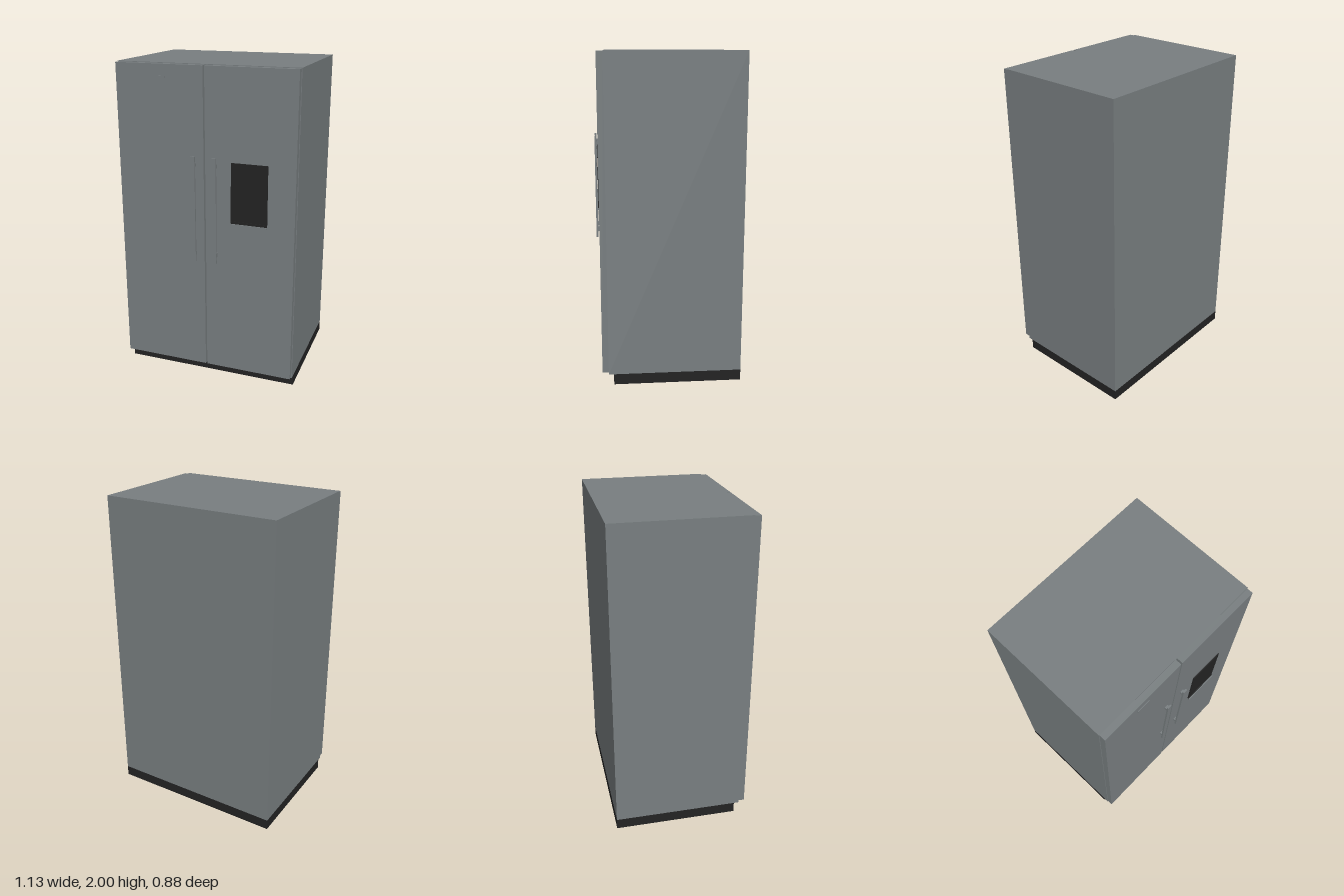
import * as THREE from 'three';

export function createModel() {
  const group = new THREE.Group();
  group.name = 'fridge';

  const steel = new THREE.MeshStandardMaterial({ color: 0x787e80 });
  steel.name = 'brushed steel';
  const black = new THREE.MeshStandardMaterial({ color: 0x232323 });
  black.name = 'black plastic';

  // Box given by its minimum and maximum on each axis
  function box(name, material, [x0, x1], [y0, y1], [z0, z1], parent = group) {
    const mesh = new THREE.Mesh(new THREE.BoxGeometry(x1 - x0, y1 - y0, z1 - z0), material);
    mesh.position.set((x0 + x1) / 2, (y0 + y1) / 2, (z0 + z1) / 2);
    mesh.name = name;
    parent.add(mesh);
    return mesh;
  }

  // Cabinet
  const W = 0.564, back = -0.44, bodyFront = 0.374, doorFront = 0.412;
  box('cabinet', steel, [-W, W], [0.067, 2], [back, bodyFront]);

  // Hollow plinth: four thin walls, open underneath
  const t = 0.004, plinthFront = 0.342, plinthY = [0, 0.067];
  box('plinthBack', black, [-W, W], plinthY, [back, back + t]);
  box('plinthFront', black, [-W, W], plinthY, [plinthFront - t, plinthFront]);
  for (const s of [-1, 1]) {
    const xs = s < 0 ? [-W, -W + t] : [W - t, W];
    box(s < 0 ? 'plinthRight' : 'plinthLeft', black, xs, plinthY, [back + t, plinthFront - t]);
  }

  // Doors with a narrow gap between them, each with a bar handle on two posts
  for (const s of [-1, 1]) {
    const side = s < 0 ? 'right' : 'left';
    const span = (a, b) => (s < 0 ? [-b, -a] : [a, b]);
    box(side + 'Door', steel, span(0.005, 0.56), [0.08, 1.996], [bodyFront, doorFront]);

    const handle = new THREE.Group();
    handle.name = side + 'Handle';
    group.add(handle);
    box('bar', steel, span(0.053, 0.081), [0.805, 1.468], [0.428, 0.439], handle);
    for (const y of [0.857, 1.418]) {
      box('post', steel, span(0.055, 0.079), [y - 0.013, y + 0.013], [doorFront, 0.428], handle);
    }
  }

  // Water dispenser: dark panel, grille and projecting drip tray
  const dispenser = new THREE.Group();
  dispenser.name = 'dispenser';
  group.add(dispenser);
  const dx = [0.168, 0.394];
  box('panel', black, dx, [1.088, 1.445], [doorFront, 0.418], dispenser);
  box('grille', black, dx, [1.073, 1.088], [doorFront, 0.421], dispenser);
  box('dripTray', steel, dx, [1.06, 1.073], [doorFront, 0.427], dispenser);

  // Small plain trim strip near the top of the right door
  box('trimStrip', steel, [-0.325, -0.24], [1.915, 1.927], [doorFront, 0.416]);

  return group;
}
